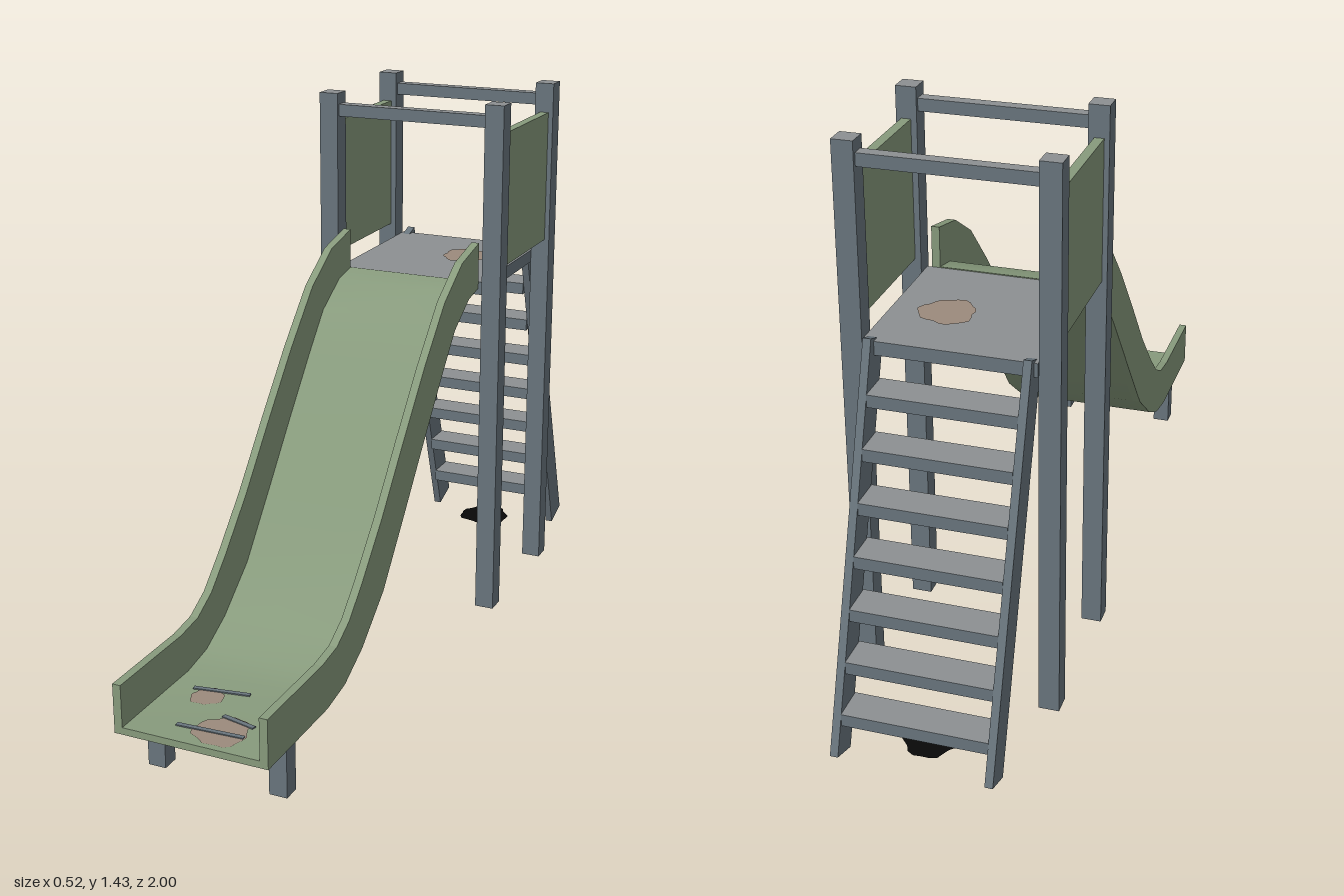
import * as THREE from 'three';
import { toCreasedNormals } from 'three/addons/utils/BufferGeometryUtils.js';

const mat = (name, color, side = THREE.FrontSide) => {
  const m = new THREE.MeshStandardMaterial({ color, side });
  m.name = name;
  return m;
};

export function createModel() {
  const frame = mat('blue grey frame', 0x69757d);
  const boards = mat('weathered grey', 0x8c9092);
  const green = mat('sage green', 0x879a7c);
  const stain = mat('dusty brown', 0x9c8a7c, THREE.DoubleSide);
  const black = mat('black', 0x080808, THREE.DoubleSide);
  const capped = [frame, frame, boards, frame, frame, frame]; // pale upper faces

  const model = new THREE.Group();
  model.name = 'playgroundSlide';
  const add = (name, geometry, material, x = 0, y = 0, z = 0) => {
    const mesh = new THREE.Mesh(geometry, material);
    mesh.name = name;
    mesh.position.set(x, y, z);
    model.add(mesh);
    return mesh;
  };
  // box given by its limits on each axis
  const box = (name, material, x0, x1, y0, y1, z0, z1) =>
    add(name, new THREE.BoxGeometry(x1 - x0, y1 - y0, z1 - z0), material,
      (x0 + x1) / 2, (y0 + y1) / 2, (z0 + z1) / 2);
  // side profile of [z, y] points, extruded across x from x0 to x1
  const profile = (points, x0, x1) => {
    const shape = new THREE.Shape(points.map(([z, y]) => new THREE.Vector2(z, y)));
    const g = new THREE.ExtrudeGeometry(shape, { depth: x1 - x0, bevelEnabled: false });
    return g.rotateY(-Math.PI / 2).translate(x1, 0, 0);
  };

  // tower: four posts, two top rails, deck, side panels
  for (const z of [-0.255, -0.646]) {
    for (const s of [-1, 1]) {
      box('post', capped, s * 0.236 - 0.026, s * 0.236 + 0.026, 0.015, 1.43, z - 0.026, z + 0.026);
    }
    box('topRail', capped, -0.21, 0.21, 1.368, 1.4, z - 0.016, z + 0.016);
  }
  box('deck', capped, -0.209, 0.209, 0.92, 0.955, -0.675, -0.24);
  for (const s of [-1, 1]) {
    box('sidePanel', green, s * 0.237 - 0.012, s * 0.237 + 0.012, 0.99, 1.35, -0.62, -0.281);
  }

  // slide: curved floor between two raised walls
  const under = [[1, 0.155], [0.7, 0.155], [0.604, 0.172], [0.505, 0.222], [0.38, 0.32],
    [0.254, 0.472], [0.128, 0.628], [0.01, 0.77], [-0.075, 0.867], [-0.171, 0.925], [-0.237, 0.938]];
  const rim = [[-0.237, 1.062], [-0.118, 1.035], [0, 0.96], [0.128, 0.827], [0.262, 0.671],
    [0.39, 0.517], [0.503, 0.398], [0.578, 0.328], [0.647, 0.291], [0.727, 0.28], [1, 0.28]];
  const upper = under.map(([z, y], i) => {
    const a = under[Math.max(i - 1, 0)], b = under[Math.min(i + 1, under.length - 1)];
    const dz = b[0] - a[0], dy = b[1] - a[1], len = Math.hypot(dz, dy);
    const end = i === 0 || i === under.length - 1;
    return [z + (end ? 0 : dy / len * 0.018), y + (end ? 0.018 : -dz / len * 0.018)];
  }).reverse();
  add('slideFloor', toCreasedNormals(profile([...under, ...upper], -0.178, 0.178), 0.6), green);
  for (const s of [-1, 1]) {
    const x = s * 0.187;
    add('slideWall', profile([...under, ...rim], x - 0.0105, x + 0.0105), green);
    box('slideLeg', capped, s * 0.16 - 0.023, s * 0.16 + 0.023, 0.015, 0.155, 0.84, 0.885);
  }
  box('slideCrossbar', capped, -0.137, 0.137, 0.117, 0.155, 0.84, 0.885);

  // ladder: slanted stringers and seven treads
  const stringer = [[-1, 0.026], [-0.925, 0], [-0.618, 0.943], [-0.69, 0.968]];
  for (const s of [-1, 1]) add('ladderStringer', profile(stringer, s * 0.19 - 0.01, s * 0.19 + 0.01), frame);
  for (let i = 0; i < 7; i++) {
    const y = 0.11 + i * 0.12;
    const z = -0.925 + y / 3.05;
    box('ladderTread', capped, -0.18, 0.18, y - 0.015, y + 0.017, z - 0.08, z + 0.008);
  }

  // flat irregular patches
  const blob = (name, material, x, y, z, r, seed) => {
    const pts = [];
    for (let i = 0; i < 24; i++) {
      const a = i / 24 * Math.PI * 2;
      const k = r * (1 + 0.07 * Math.sin(3 * a + seed) + 0.06 * Math.sin(7 * a + seed * 2));
      pts.push(new THREE.Vector2(Math.cos(a) * k, Math.sin(a) * k));
    }
    add(name, new THREE.ShapeGeometry(new THREE.Shape(pts)).rotateX(-Math.PI / 2), material, x, y, z);
  };
  blob('deckStain', stain, 0.07, 0.958, -0.482, 0.068, 1);
  blob('slideStain', stain, -0.07, 0.175, 0.795, 0.04, 2);
  blob('slideStain', stain, 0.04, 0.175, 0.925, 0.065, 4);
  blob('groundPatch', black, 0, 0.016, -0.855, 0.072, 3);

  // scuff marks on the slide's run-out
  for (const [x0, z0, x1, z1] of [[-0.12, 0.772, 0.02, 0.75], [0.01, 0.862, 0.1, 0.882], [-0.07, 0.938, 0.1, 0.93]]) {
    const g = new THREE.BoxGeometry(Math.hypot(x1 - x0, z1 - z0), 0.003, 0.012);
    add('scuffMark', g, frame, (x0 + x1) / 2, 0.176, (z0 + z1) / 2)
      .rotation.y = -Math.atan2(z1 - z0, x1 - x0);
  }
  return model;
}
